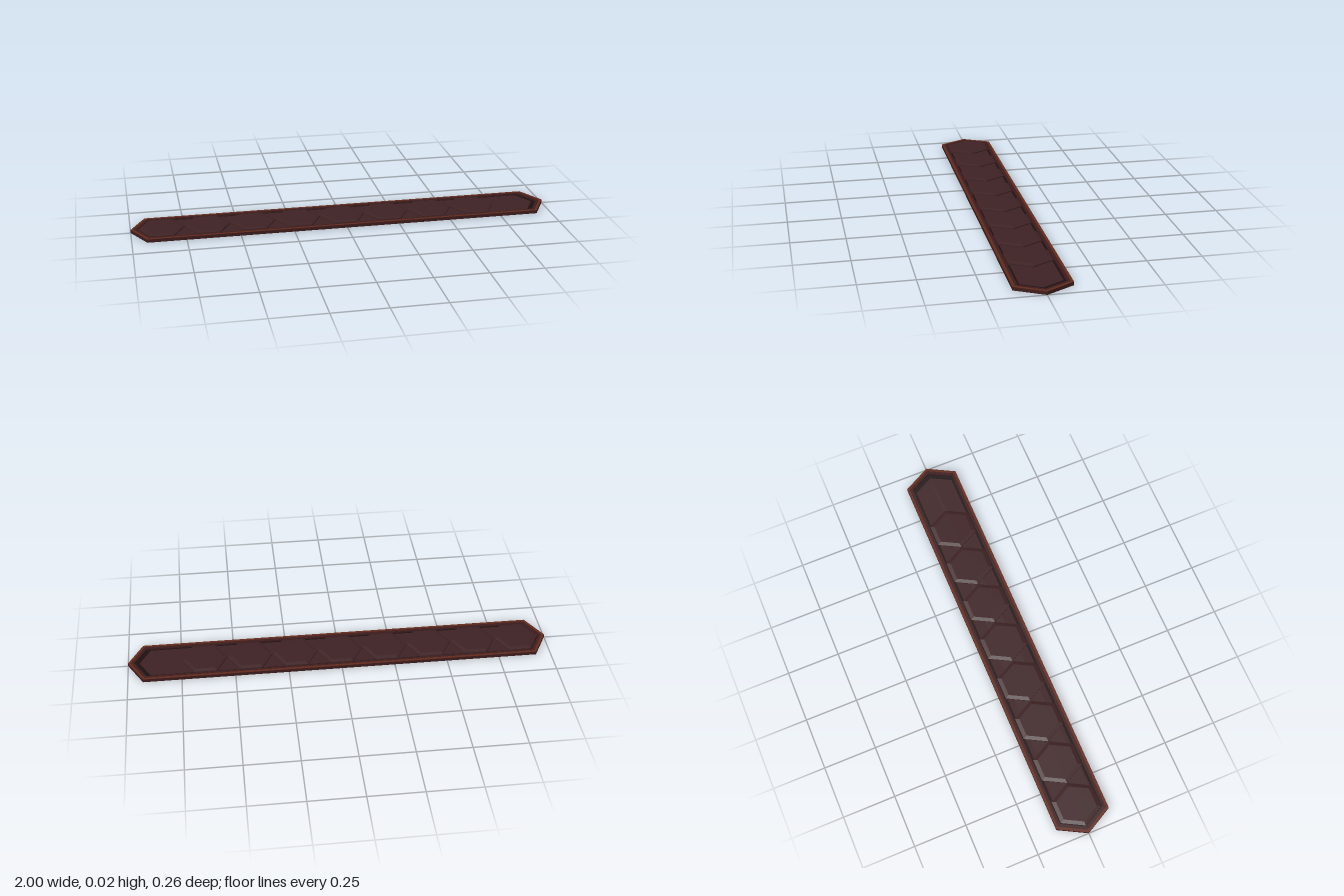
import * as THREE from 'three';

const paint = (name, color) => {
  const m = new THREE.MeshStandardMaterial({ color });
  m.name = name;
  return m;
};

// All outlines are long hexagons with the same end slope: L = half length, W = half width
const hexPoints = (L, W) => {
  const C = L - 0.54 * W;
  return [[L, 0], [C, W], [-C, W], [-L, 0], [-C, -W], [C, -W]].map(([x, y]) => new THREE.Vector2(x, y));
};

// Flat plate lying on y0, with an optional hexagonal opening
function plate(outer, inner, y0, y1) {
  const shape = new THREE.Shape(hexPoints(...outer));
  if (inner) shape.holes.push(new THREE.Path(hexPoints(...inner)));
  const g = new THREE.ExtrudeGeometry(shape, { depth: y1 - y0, bevelEnabled: false });
  g.rotateX(-Math.PI / 2);
  g.translate(0, y0, 0);
  return g;
}

// Flat-shaded solid from stacked hexagon rings [L, W, y], closed on top
function loft(rings) {
  const pos = [];
  const pts = rings.map(([L, W, y]) => hexPoints(L, W).map((p) => [p.x, y, -p.y]));
  for (let r = 0; r < pts.length - 1; r++) {
    for (let i = 0; i < 6; i++) {
      const j = (i + 1) % 6;
      const [a, b, c, d] = [pts[r][i], pts[r][j], pts[r + 1][j], pts[r + 1][i]];
      pos.push(...a, ...b, ...c, ...a, ...c, ...d);
    }
  }
  const top = pts[pts.length - 1];
  for (let i = 1; i < 5; i++) pos.push(...top[0], ...top[i], ...top[i + 1]);
  const g = new THREE.BufferGeometry();
  g.setAttribute('position', new THREE.Float32BufferAttribute(pos, 3));
  g.computeVertexNormals();
  return g;
}

export function createModel() {
  const group = new THREE.Group();
  const body = paint('dark maroon', 0x3e1c1d);
  const trim = paint('rust brown', 0x622a1c);
  const groove = paint('near black', 0x1e1011);
  const tile = paint('dusky brown', 0x3e2224);

  const add = (name, geometry, material, x = 0) => {
    const m = new THREE.Mesh(geometry, material);
    m.name = name;
    m.position.x = x;
    group.add(m);
  };

  // Tray: dark floor, raised frame and thin rim edging
  const outer = [1, 0.13], mid = [0.986, 0.118], slot = [0.97, 0.105];
  add('trayBase', plate(outer, null, 0, 0.007), body);
  add('trayFloor', plate(slot, null, 0.007, 0.008), groove);
  add('frame', plate(outer, slot, 0.007, 0.0155), body);
  add('rimTrim', plate(outer, mid, 0.0155, 0.0163), trim);

  // Inlay showing at the empty end
  add('inlay', plate([0.945, 0.094], null, 0.008, 0.011), tile);

  // Row of eight bevelled segments
  const segment = loft([[0.107, 0.1, 0.008], [0.107, 0.1, 0.0163], [0.088, 0.082, 0.021]]);
  for (let i = 0; i < 8; i++) add('segment' + (i + 1), segment, tile, -0.858 + 0.214 * i);

  return group;
}
